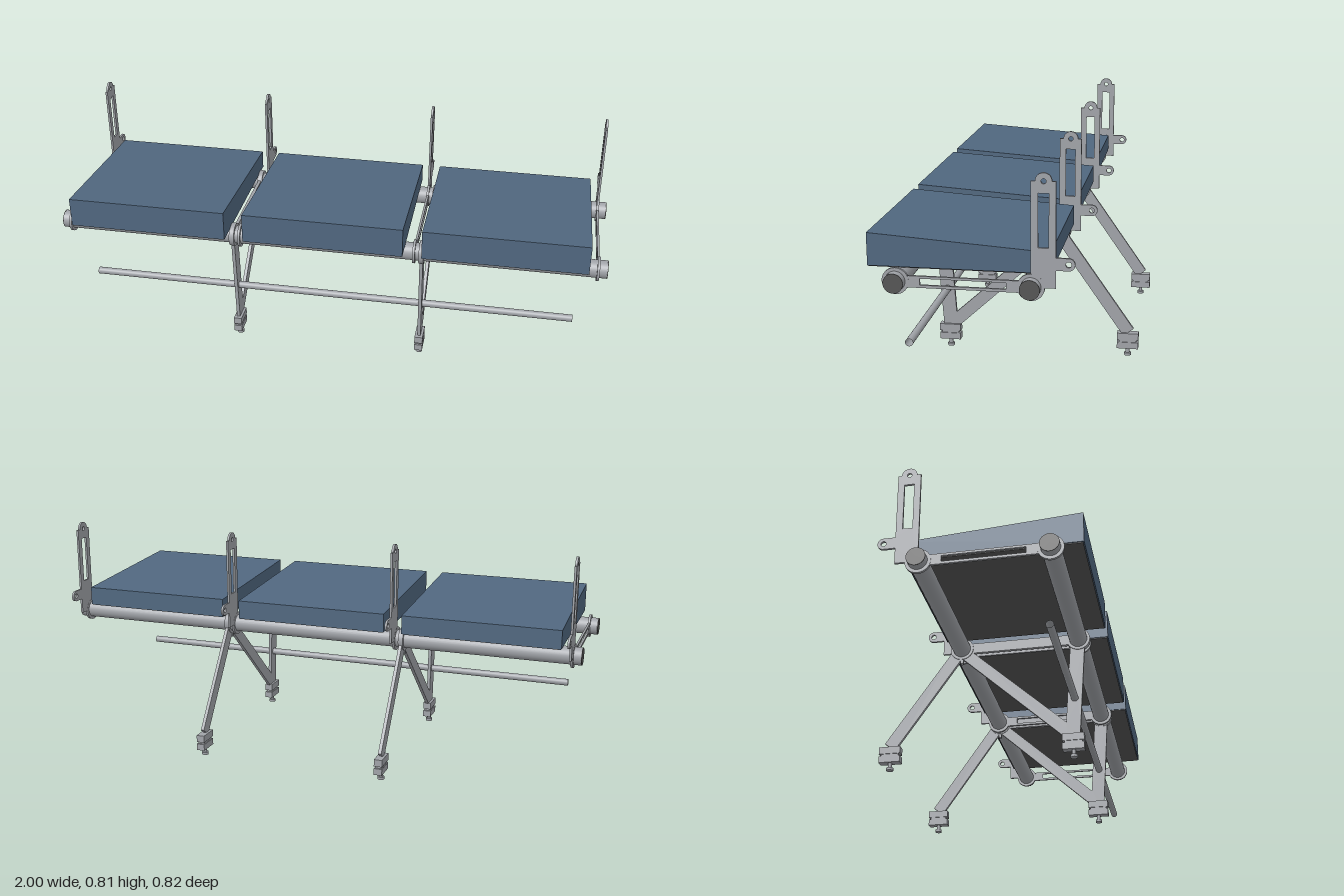
import * as THREE from 'three';

export function createModel() {
  const model = new THREE.Group();
  const mat = (name, color, side = THREE.FrontSide) => {
    const m = new THREE.MeshStandardMaterial({ color, side });
    m.name = name;
    return m;
  };
  const steel = mat('grey steel', 0xa0a3a8, THREE.DoubleSide);
  const fabric = mat('blue fabric', 0x50677f);
  const dark = mat('dark plastic', 0x555555);

  const FRONT = 0.31, BACK = -0.116, RAIL_Y = 0.453;

  const add = (parent, name, geo, material, x = 0, y = 0, z = 0) => {
    const mesh = new THREE.Mesh(geo, material);
    mesh.name = name;
    mesh.position.set(x, y, z);
    parent.add(mesh);
    return mesh;
  };
  // Side profile given as [z, y] points, extruded across x and centred on x = 0
  const polygon = pts => new THREE.Shape(pts.map(p => new THREE.Vector2(...p)));
  const plate = (shape, thickness) => {
    const g = new THREE.ExtrudeGeometry(shape, { depth: thickness, bevelEnabled: false, curveSegments: 20 });
    return g.translate(0, 0, -thickness / 2).rotateY(-Math.PI / 2);
  };
  const rod = (r, length, open = false) =>
    new THREE.CylinderGeometry(r, r, length, 32, 1, open).rotateZ(Math.PI / 2);
  const hole = (shape, z, y, r) => shape.holes.push(new THREE.Path().absarc(z, y, r, 0, Math.PI * 2, true));
  const slot = (shape, z0, z1, y0, y1) => shape.holes.push(
    new THREE.Path([[z0, y0], [z0, y1], [z1, y1], [z1, y0]].map(p => new THREE.Vector2(...p))));

  // Long seat rails with dark end caps
  for (const z of [FRONT, BACK]) {
    add(model, 'rail', rod(0.032, 1.996), steel, 0, RAIL_Y, z);
    for (const s of [-1, 1]) add(model, 'railCap', rod(0.032, 0.004), dark, s * 0.998, RAIL_Y, z);
  }

  // Wedge cushions on thin dark base boards
  const wedge = polygon([[0.41, 0.487], [0.41, 0.594], [-0.172, 0.555], [-0.172, 0.487]]);
  for (const x of [-0.644, 0, 0.644]) {
    add(model, 'cushion', plate(wedge, 0.577), fabric, x);
    add(model, 'seatBoard', new THREE.BoxGeometry(0.57, 0.004, 0.575), dark, x, 0.486, 0.119);
  }

  // Backrest upright with rounded lugs on top and behind
  const upright = new THREE.Shape();
  upright.moveTo(BACK, RAIL_Y);
  upright.lineTo(-0.193, RAIL_Y);
  upright.lineTo(-0.193, 0.51);
  upright.lineTo(-0.232, 0.51);
  upright.absarc(-0.232, 0.53, 0.02, -Math.PI / 2, Math.PI / 2, true);
  upright.lineTo(-0.193, 0.55);
  upright.lineTo(-0.193, 0.787);
  upright.lineTo(-0.181, 0.787);
  upright.absarc(-0.155, 0.787, 0.026, Math.PI, 0, true);
  upright.lineTo(BACK, 0.787);
  slot(upright, -0.171, -0.138, 0.58, 0.75);
  hole(upright, -0.155, 0.787, 0.008);
  hole(upright, -0.232, 0.53, 0.009);

  const armPoints = [[FRONT, 0.434], [BACK, 0.434], [BACK, 0.472], [FRONT, 0.472]];
  const slottedArm = polygon(armPoints);
  slot(slottedArm, -0.04, 0.232, 0.443, 0.464);

  for (const x of [-0.967, -0.321, 0.321, 0.967]) {
    const bracket = new THREE.Group();
    bracket.name = 'backrestBracket';
    bracket.position.x = x;
    add(bracket, 'upright', plate(upright, 0.008), steel);
    add(bracket, 'sideArm', plate(slottedArm, 0.008), steel);
    for (const z of [FRONT, BACK]) add(bracket, 'railRing', rod(0.043, 0.009), steel, 0, RAIL_Y, z);
    model.add(bracket);
  }

  // Leg frames
  const frontLeg = polygon([[0.333, 0.44], [0.281, 0.44], [0.26, 0.13], [0.262, 0.084], [0.308, 0.084]]);
  hole(frontLeg, 0.292, 0.222, 0.013);
  const brace = polygon([[0.262, 0.131], [0.285, 0.084], [0.246, 0.084], [-0.115, 0.415], [-0.08, 0.44]]);
  const backLeg = polygon([[-0.115, 0.417], [-0.347, 0.085], [-0.37, 0.085], [-0.391, 0.102], [-0.152, 0.443]]);
  for (const x of [-0.348, 0.348]) {
    const frame = new THREE.Group();
    frame.name = 'legFrame';
    frame.position.x = x;
    add(frame, 'frontLeg', plate(frontLeg, 0.012), steel);
    add(frame, 'brace', plate(brace, 0.012), steel);
    add(frame, 'backLeg', plate(backLeg, 0.012), steel);
    add(frame, 'crossArm', plate(polygon(armPoints), 0.012), steel);
    for (const z of [FRONT, BACK]) add(frame, 'legCollar', rod(0.042, 0.018), steel, 0, RAIL_Y, z);
    add(frame, 'clampTab', new THREE.BoxGeometry(0.015, 0.02, 0.01), steel, 0, 0.405, BACK);
    // Clamped feet with levelling screws
    for (const z of [0.284, -0.371]) {
      add(frame, 'footUpperBlock', new THREE.BoxGeometry(0.03, 0.026, 0.077), steel, 0, 0.073, z);
      add(frame, 'footNeck', new THREE.BoxGeometry(0.024, 0.01, 0.062), steel, 0, 0.056, z);
      add(frame, 'footLowerBlock', new THREE.BoxGeometry(0.03, 0.024, 0.077), steel, 0, 0.04, z);
      add(frame, 'levellingScrew', new THREE.CylinderGeometry(0.007, 0.007, 0.02, 16), steel, 0, 0.019, z);
      add(frame, 'footPad', new THREE.CylinderGeometry(0.0125, 0.0125, 0.01, 20), steel, 0, 0.005, z);
    }
    model.add(frame);
  }

  // Open pipe running through the front legs
  add(model, 'luggagePipe', rod(0.013, 1.8, true), steel, 0, 0.222, 0.292);

  return model;
}
